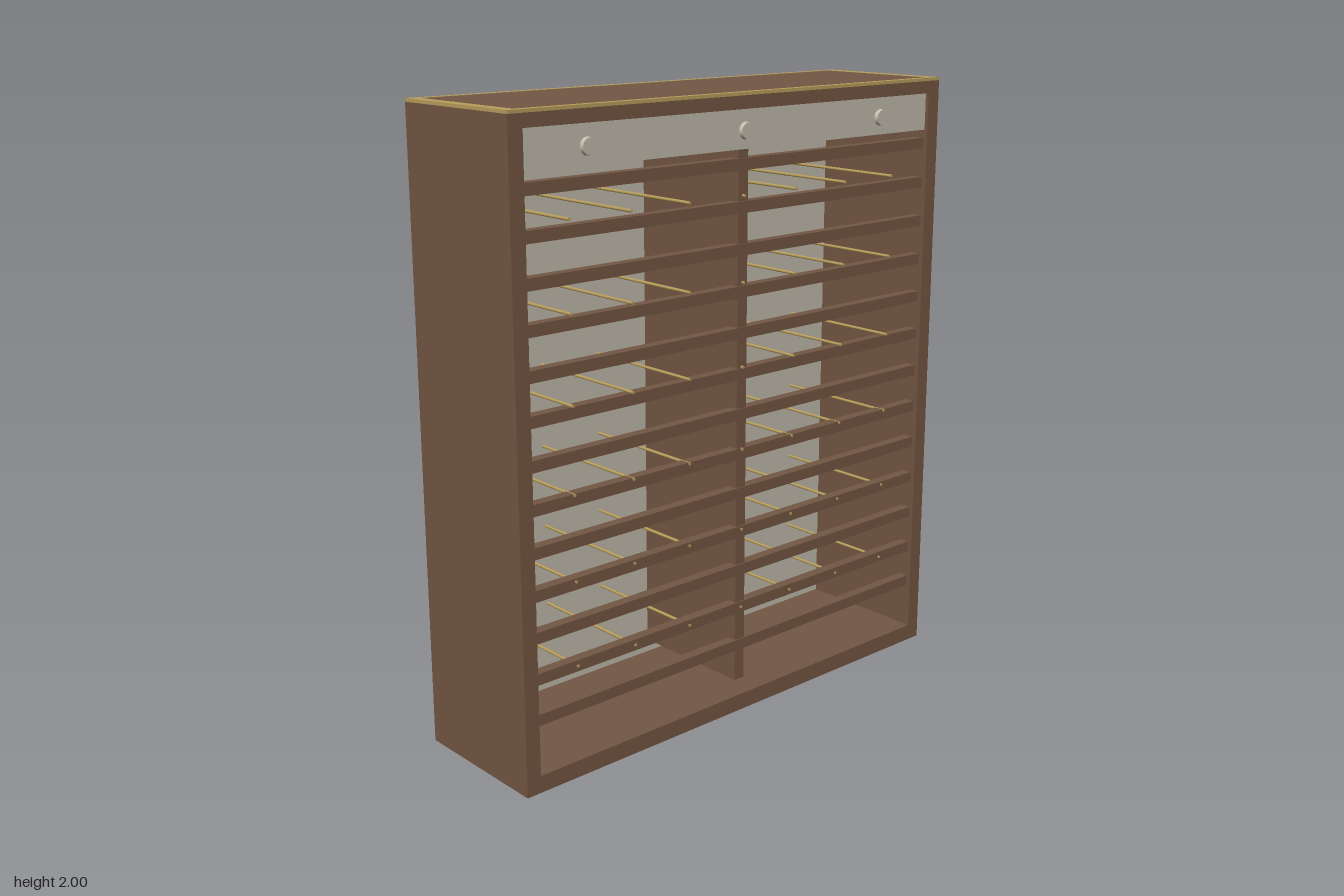
import * as THREE from 'three';

const wood = new THREE.MeshStandardMaterial({ color: 0x735643 });
wood.name = 'brown wood';
const panel = new THREE.MeshStandardMaterial({ color: 0xc2bbab });
panel.name = 'pale grey panel';
const brass = new THREE.MeshStandardMaterial({ color: 0xb89e5c });
brass.name = 'brass';

const W = 0.875, D = 0.245, T = 0.05; // half width, half depth, board thickness

export function createModel() {
  const group = new THREE.Group();
  group.name = 'slattedCabinet';

  const add = (name, geometry, material, x, y, z) => {
    const mesh = new THREE.Mesh(geometry, material);
    mesh.name = name;
    mesh.position.set(x, y, z);
    group.add(mesh);
    return mesh;
  };
  // Box given by its limits on each axis
  const box = (name, material, x0, x1, y0, y1, z0, z1) =>
    add(name, new THREE.BoxGeometry(x1 - x0, y1 - y0, z1 - z0), material,
      (x0 + x1) / 2, (y0 + y1) / 2, (z0 + z1) / 2);

  // Carcass
  box('bottomBoard', wood, -W, W, 0, 0.055, -D, D);
  box('topBoard', wood, -W, W, 1.95, 1.99, -D, D);
  for (const s of [-1, 1]) {
    const x = s * (W - T / 2);
    box(s > 0 ? 'leftSide' : 'rightSide', wood, x - T / 2, x + T / 2, 0.055, 1.95, -D, D);
  }
  box('backPanel', panel, -W + T, W - T, 0.055, 1.95, -0.235, -0.215);
  box('centreDivider', wood, -0.02, 0.02, 0.1, 1.83, -0.215, 0.225);

  // Brass edging around the top, with a wooden inlay
  box('topInlay', wood, -W + 0.037, W - 0.037, 1.99, 1.999, -D + 0.024, D - 0.024);
  for (const s of [-1, 1]) {
    const x = s * (W - 0.0185), z = s * (D - 0.012);
    box('topTrimSide', brass, x - 0.0185, x + 0.0185, 1.99, 2, -D, D);
    box('topTrimLong', brass, -W + 0.037, W - 0.037, 1.99, 2, z - 0.012, z + 0.012);
  }

  // Header panel with three round knobs
  box('headerPanel', panel, -W + T, W - T, 1.83, 1.95, 0.215, 0.233);
  for (const x of [-0.6, 0, 0.6]) {
    add('knob', new THREE.CylinderGeometry(0.024, 0.027, 0.014, 20), panel, x, 1.885, 0.238)
      .rotation.x = Math.PI / 2;
  }

  // Horizontal front slats
  for (let i = 0; i < 13; i++) {
    const y = 0.225 + i * 0.13;
    box('slat', wood, -W + T, W - T, y - 0.018, y + 0.018, 0.195, 0.23);
  }

  // Thin brass pegs running from front to back
  const peg = new THREE.CylinderGeometry(0.005, 0.005, 0.447, 8);
  for (let row = 0; row < 6; row++) {
    for (let col = -3; col <= 3; col++) {
      add('peg', peg, brass, col * 0.2225, 0.355 + row * 0.267, 0.0095).rotation.x = Math.PI / 2;
    }
  }
  return group;
}
